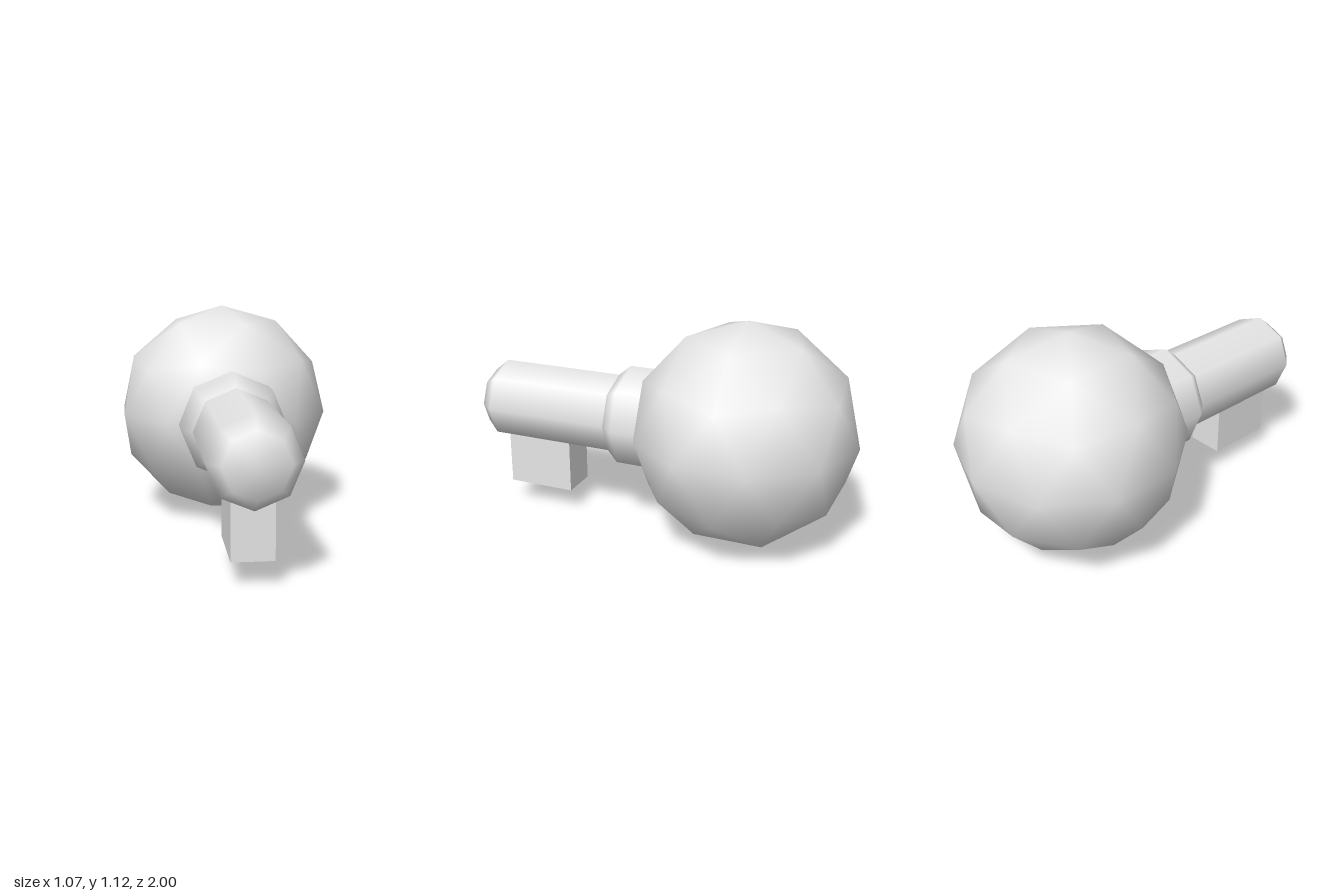
import * as THREE from 'three';

const paleGrey = new THREE.MeshStandardMaterial({ color: 0xe7e7e7 });
paleGrey.name = 'paleGrey';

const AXIS_Y = 0.565; // height of the shared centre line

function addPart(group, name, geometry, y, z) {
  const mesh = new THREE.Mesh(geometry, paleGrey);
  mesh.name = name;
  mesh.position.set(0, y, z);
  group.add(mesh);
}

// Eight-sided capsule along z with caps flattened to half depth
function flatCapsule(radius, back, front) {
  const straight = front - back - radius;
  return new THREE.CapsuleGeometry(radius, straight * 2, 2, 8)
    .scale(1, 0.5, 1)
    .rotateX(Math.PI / 2);
}

export function createModel() {
  const group = new THREE.Group();
  group.name = 'model';

  // Large smooth ball with a vertex at each pole
  const ball = new THREE.IcosahedronGeometry(0.5625, 1);
  ball.rotateZ(-Math.atan(2 / (1 + Math.sqrt(5))));
  addPart(group, 'ball', ball, AXIS_Y, -0.4375);

  // Barrel and collar, their back ends sunk in the ball
  const capsules = [
    ['barrel', 0.21, -0.2, 1],
    ['collar', 0.265, -0.2, 0.306],
  ];
  for (const [name, radius, back, front] of capsules) {
    addPart(group, name, flatCapsule(radius, back, front), AXIS_Y, (back + front) / 2);
  }

  // Square block under the barrel
  addPart(group, 'lowerBlock', new THREE.BoxGeometry(0.194, 0.34, 0.358), 0.29, 0.671);

  return group;
}
